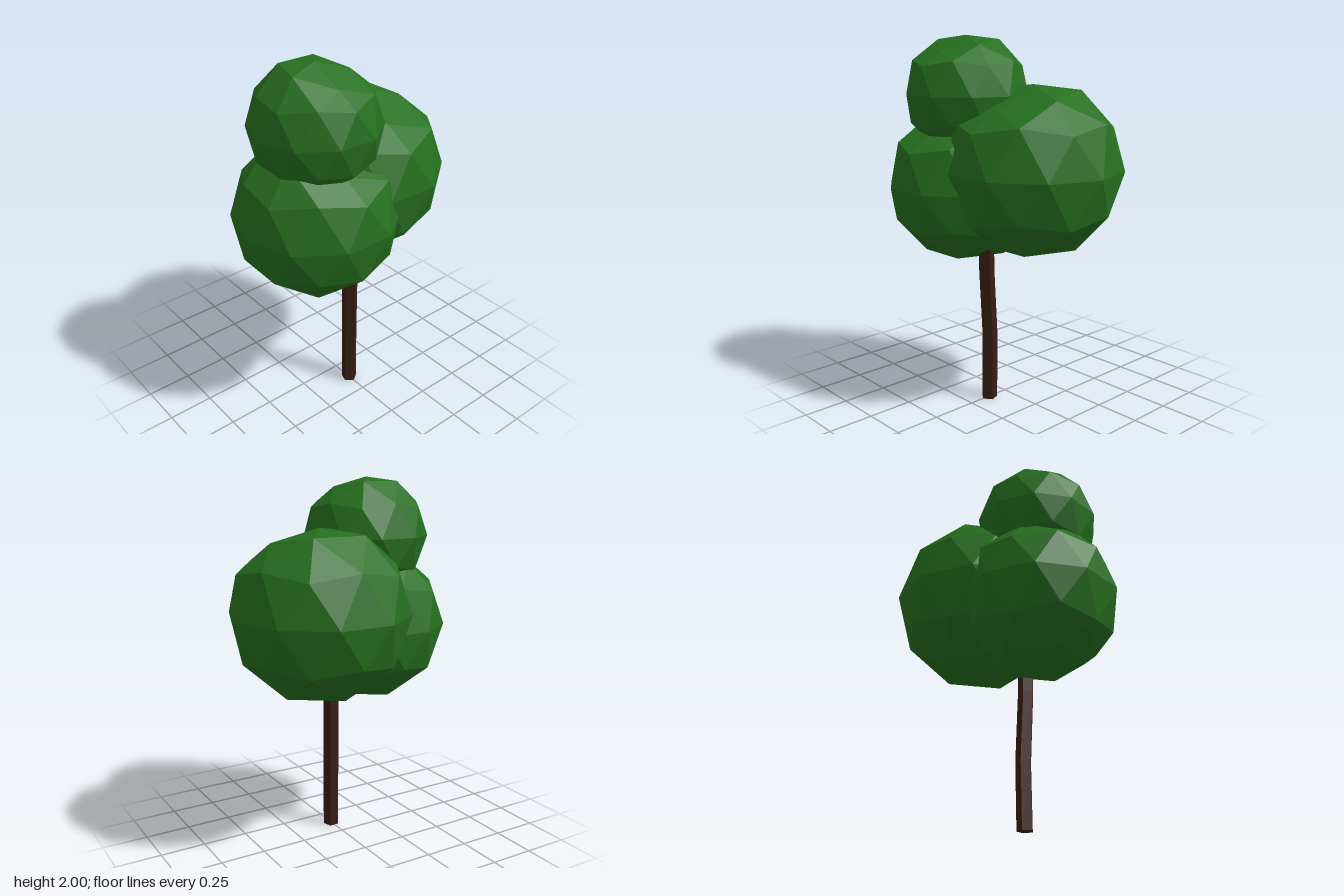
import * as THREE from 'three';

const leafMaterial = new THREE.MeshStandardMaterial({ color: 0x26701f, flatShading: true });
const barkMaterial = new THREE.MeshStandardMaterial({ color: 0x3a1c14, flatShading: true });

// Faceted ball with a vertex at each pole, slightly flattened on top and underneath
function leafBallGeometry() {
  const points = [0, 1, 0];
  const h = 1 / Math.sqrt(5);
  for (const [y, turn] of [[h, 0], [-h, 0.5]]) {
    for (let k = 0; k < 5; k++) {
      const a = (k + turn) * Math.PI * 2 / 5;
      points.push(2 * h * Math.cos(a), y, 2 * h * Math.sin(a));
    }
  }
  points.push(0, -1, 0);

  const faces = [];
  for (let k = 0; k < 5; k++) {
    const n = (k + 1) % 5;
    const a = 1 + k, b = 1 + n, c = 6 + k, d = 6 + n;
    faces.push(0, b, a, a, b, c, c, b, d, c, d, 11);
  }
  const geometry = new THREE.PolyhedronGeometry(points, faces, 1, 1);

  // Dent the poles and the upper +x and back shoulders
  const p = geometry.attributes.position;
  for (let i = 0; i < p.count; i++) {
    const x = p.getX(i), y = p.getY(i), z = p.getZ(i);
    if (Math.abs(y) > 0.99) p.setY(i, y * 0.915);
    else if (y > 0.8 && x > 0.5) p.setY(i, 0.66);
    else if (y > 0.8 && z < -0.45) p.setY(i, 0.765);
  }
  geometry.computeVertexNormals();
  return geometry;
}

// Five-sided trunk whose rings follow a gentle bend
function trunkGeometry() {
  const rings = [[0.121, 0, -0.002], [0.117, 0.36, -0.003], [0.131, 0.75, 0.007], [0.133, 1.05, 0.007]];
  const geometry = new THREE.CylinderGeometry(0.045, 0.045, 3, 5, 3, false, Math.PI / 2);
  const p = geometry.attributes.position;
  for (let i = 0; i < p.count; i++) {
    const [x, y, z] = rings[Math.round(p.getY(i) + 1.5)];
    p.setXYZ(i, p.getX(i) + x, y, p.getZ(i) + z);
  }
  geometry.computeVertexNormals();
  return geometry;
}

export function createModel() {
  const tree = new THREE.Group();
  tree.name = 'tree';

  const trunk = new THREE.Mesh(trunkGeometry(), barkMaterial);
  trunk.name = 'trunk';
  tree.add(trunk);

  // Foliage: name, centre, radius
  const ball = leafBallGeometry();
  const clumps = [
    ['backFoliage', [-0.05, 1.305, -0.165], 0.487],
    ['frontFoliage', [0.09, 1.2, 0.208], 0.44],
    ['topFoliage', [0.09, 1.69, 0.205], 0.34],
  ];
  for (const [name, centre, radius] of clumps) {
    const clump = new THREE.Mesh(ball, leafMaterial);
    clump.name = name;
    clump.position.set(...centre);
    clump.scale.setScalar(radius);
    tree.add(clump);
  }
  return tree;
}
